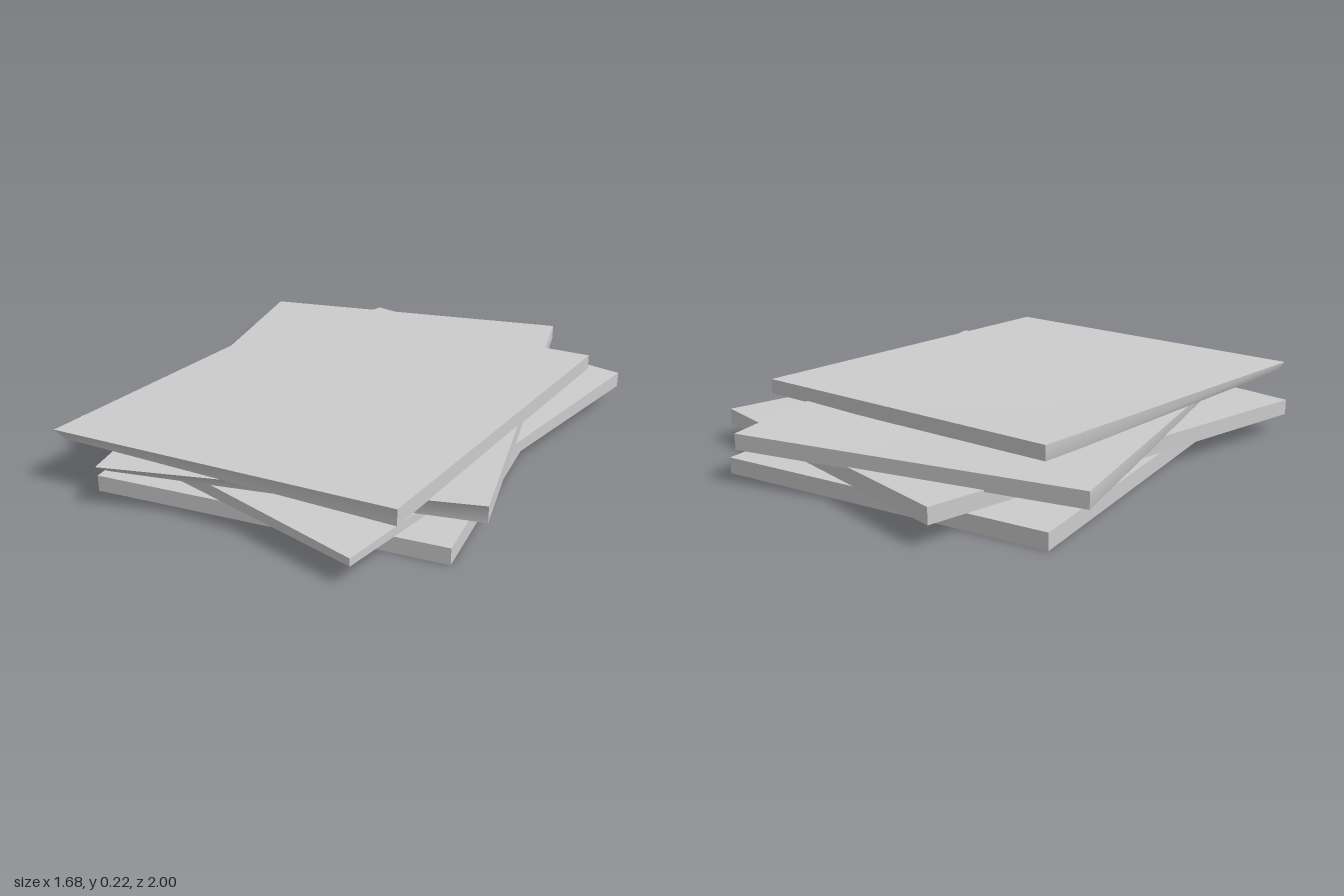
import * as THREE from 'three';

// A thin slab from four top-view corners [x, z] in the order
// back left, back right, front right, front left (as seen from above).
// bent: { corner index: { top: [x, y, z], bottom: [x, y, z] } } for warped corners.
function slab(name, material, y0, y1, corners, bent = {}) {
  const geo = new THREE.BoxGeometry(1, 1, 1);
  const pos = geo.attributes.position;
  for (let i = 0; i < pos.count; i++) {
    const back = pos.getZ(i) < 0, minusX = pos.getX(i) < 0, top = pos.getY(i) > 0;
    const k = back ? (minusX ? 0 : 1) : (minusX ? 3 : 2);
    const [x, z] = corners[k];
    const p = bent[k] ? (top ? bent[k].top : bent[k].bottom) : [x, top ? y1 : y0, z];
    pos.setXYZ(i, ...p);
  }
  geo.computeVertexNormals();
  const mesh = new THREE.Mesh(geo, material);
  mesh.name = name;
  return mesh;
}

export function createModel() {
  const grey = new THREE.MeshStandardMaterial({ color: 0xcccccc });
  grey.name = 'light grey';

  const group = new THREE.Group();
  group.name = 'sheetStack';

  // Flat, square-on bottom sheet
  group.add(slab('bottomSheet', grey, 0, 0.056,
    [[-0.607, -0.845], [0.605, -0.845], [0.605, 0.782], [-0.607, 0.782]]));

  // Twisted sheet with one front corner drooping and stretched
  group.add(slab('secondSheet', grey, 0.069, 0.124,
    [[-0.307, -1.0], [0.84, -0.6], [0.377, 0.997], [-0.845, 0.532]],
    { 2: { top: [0.377, 0.092, 0.997], bottom: [0.377, 0.066, 0.997] } }));

  // Sheet turned the other way, its front corner bent down
  group.add(slab('thirdSheet', grey, 0.118, 0.173,
    [[-0.697, -0.775], [0.512, -0.907], [0.69, 0.707], [-0.52, 0.84]],
    { 3: { top: [-0.537, 0.147, 0.882], bottom: [-0.522, 0.114, 0.835] } }));

  // Shorter top sheet, its front corner dipping slightly
  group.add(slab('topSheet', grey, 0.168, 0.222,
    [[-0.47, -0.62], [0.74, -0.487], [0.482, 0.905], [-0.73, 0.77]],
    { 3: { top: [-0.755, 0.199, 0.79], bottom: [-0.73, 0.163, 0.77] } }));

  return group;
}
